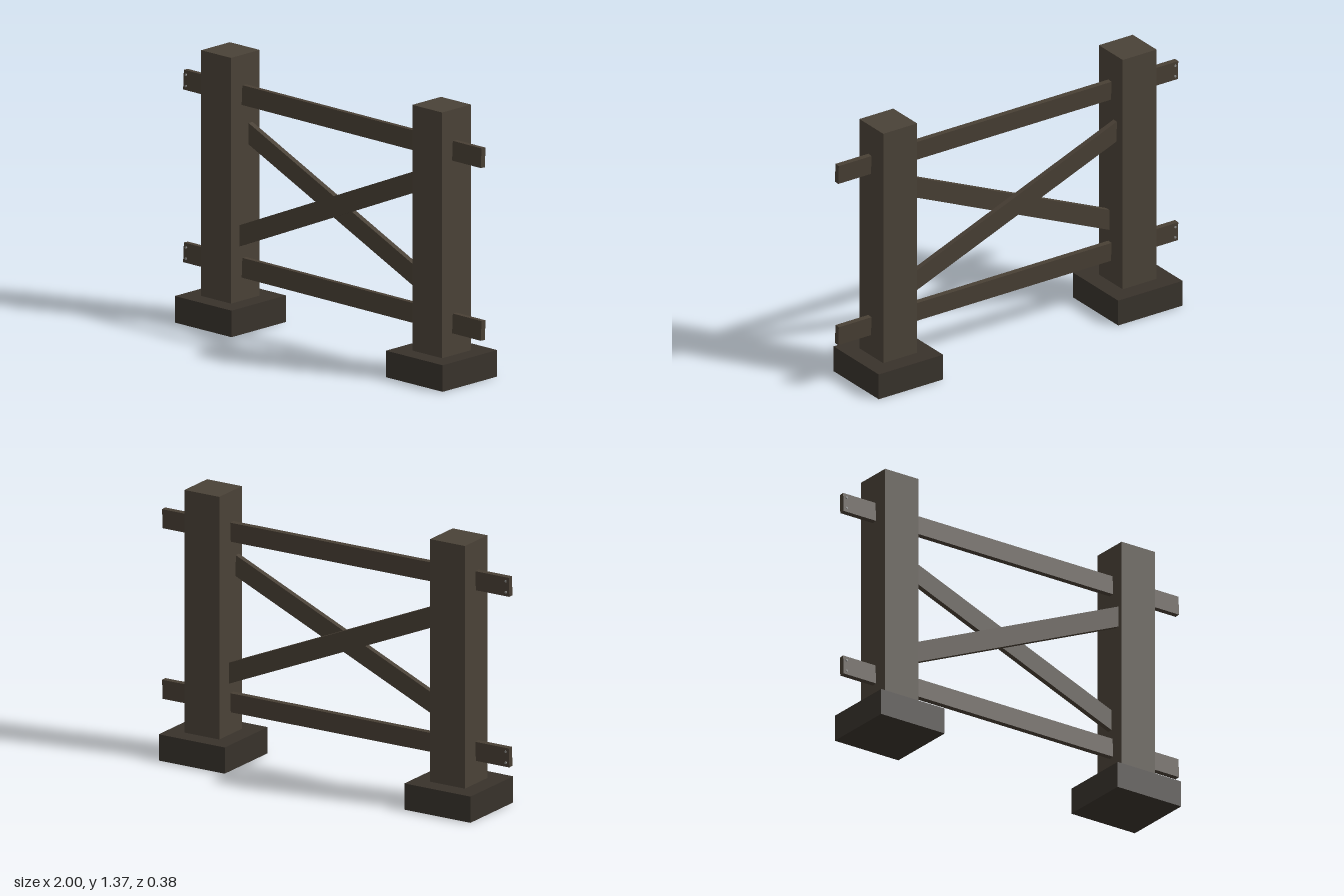
import * as THREE from 'three';

const mat = (color) => new THREE.MeshStandardMaterial({ color, flatShading: true });

export function createModel() {
  const group = new THREE.Group();
  const postWood = mat(0x4a4237);
  const railWood = mat(0x483f34);
  const baseStone = mat(0x38322b);
  const steel = mat(0x8a8a88);

  function add(name, geometry, material, x, y, z) {
    const mesh = new THREE.Mesh(geometry, material);
    mesh.name = name;
    mesh.position.set(x, y, z);
    group.add(mesh);
    return mesh;
  }

  // Plank stretched between two points, with a slight roll about its length
  function plank(name, from, to, height, thickness, roll = 0) {
    const a = new THREE.Vector3(...from), b = new THREE.Vector3(...to);
    const dir = b.clone().sub(a);
    const mid = a.clone().add(b).multiplyScalar(0.5);
    const geo = new THREE.BoxGeometry(dir.length(), height, thickness);
    geo.rotateX(roll);
    const mesh = add(name, geo, railWood, mid.x, mid.y, mid.z);
    mesh.quaternion.setFromUnitVectors(new THREE.Vector3(1, 0, 0), dir.normalize());
    return mesh;
  }

  // Posts on square footings
  for (const [side, s] of [['right', -1], ['left', 1]]) {
    add(side + 'Footing', new THREE.BoxGeometry(0.38, 0.133, 0.38), baseStone, s * 0.707, 0.0665, 0);
    add(side + 'Post', new THREE.BoxGeometry(0.2, 1.235, 0.2), postWood, s * 0.707, 0.7475, 0);
  }

  // Horizontal rails, each with two nails through the right end
  for (const [name, y] of [['upper', 1.161], ['lower', 0.295]]) {
    plank(name + 'Rail', [-1, y + 0.003, 0.008], [1, y - 0.003, 0.015], 0.098, 0.028, -0.05);
    for (const dy of [-0.028, 0.028]) {
      const nail = new THREE.CylinderGeometry(0.006, 0.006, 0.038, 8);
      nail.rotateX(Math.PI / 2);
      add(name + 'RailNail', nail, steel, -0.982, y + 0.003 + dy, 0.008);
    }
  }

  // Crossed braces, one behind the other
  plank('frontBrace', [-0.64, 0.447, 0.025], [0.64, 0.99, 0.061], 0.098, 0.028);
  plank('rearBrace', [-0.64, 0.975, -0.037], [0.64, 0.432, 0.003], 0.098, 0.028);

  return group;
}
